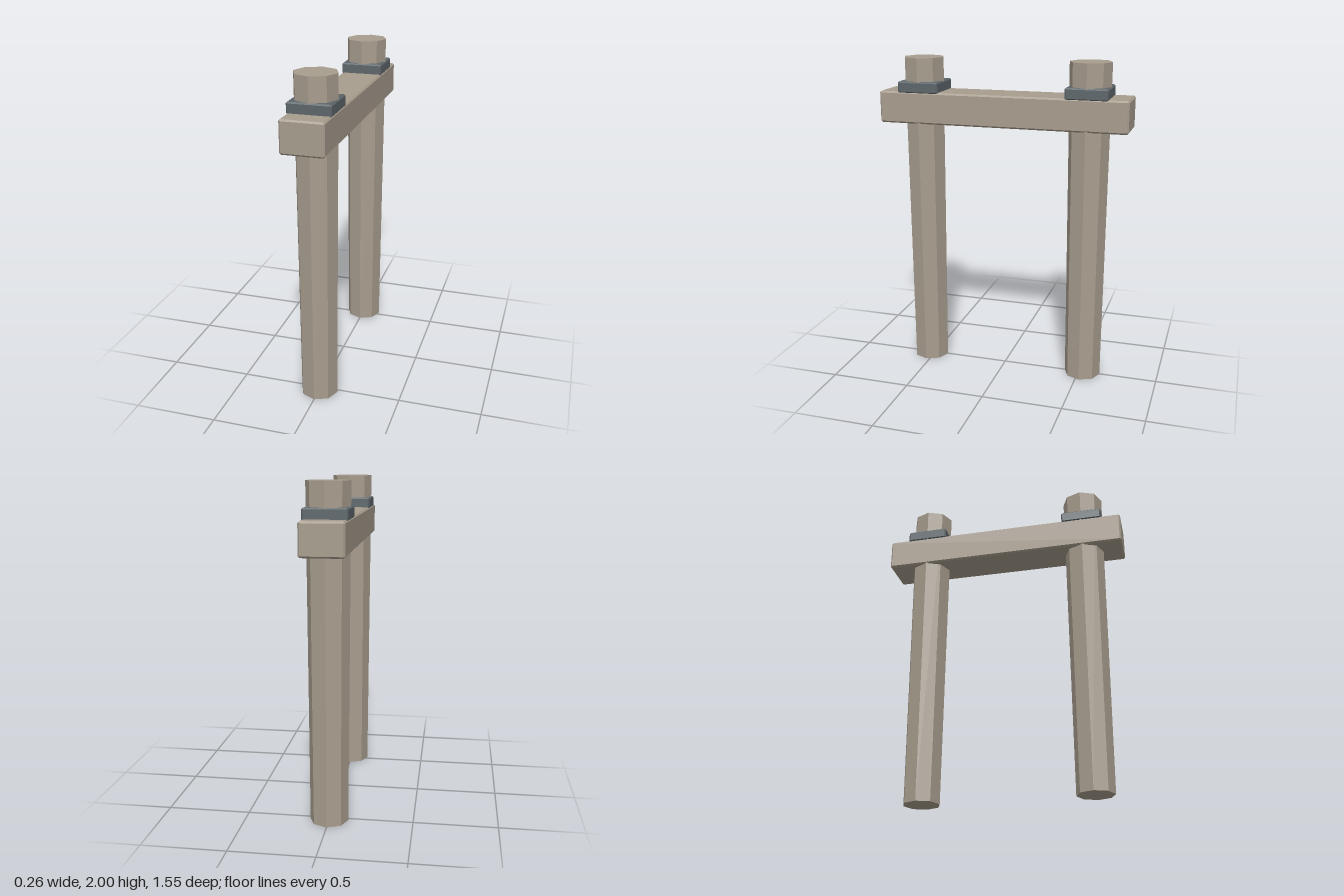
import * as THREE from 'three';
import { ConvexGeometry } from 'three/addons/geometries/ConvexGeometry.js';

// Box with flat chamfered edges: each corner becomes three points
function chamferBox(w, h, d, c) {
  const points = [];
  for (const sx of [-1, 1]) for (const sy of [-1, 1]) for (const sz of [-1, 1]) {
    const [x, y, z] = [w / 2, h / 2, d / 2];
    points.push(
      new THREE.Vector3(sx * x, sy * (y - c), sz * (z - c)),
      new THREE.Vector3(sx * (x - c), sy * y, sz * (z - c)),
      new THREE.Vector3(sx * (x - c), sy * (y - c), sz * z));
  }
  return new ConvexGeometry(points);
}

export function createModel() {
  const wood = new THREE.MeshStandardMaterial({ color: 0xa89d8e, flatShading: true });
  wood.name = 'weatheredWood';
  const iron = new THREE.MeshStandardMaterial({ color: 0x5d666b, flatShading: true });
  iron.name = 'darkIron';

  const group = new THREE.Group();
  const add = (name, geometry, material, y, z) => {
    const mesh = new THREE.Mesh(geometry, material);
    mesh.name = name;
    mesh.position.set(0, y, z);
    group.add(mesh);
  };

  // Crossbeam running front to back
  add('crossbeam', chamferBox(0.255, 0.195, 1.55, 0.01), wood, 1.6975, 0);

  // Tapered eight-sided posts, each with a square collar resting on the beam
  const post = new THREE.CylinderGeometry(0.128, 0.114, 2, 8);
  const collar = chamferBox(0.258, 0.07, 0.258, 0.008);
  for (const [side, z] of [['front', 0.523], ['back', -0.523]]) {
    add(side + 'Post', post, wood, 1, z);
    add(side + 'Collar', collar, iron, 1.822, z);
  }
  return group;
}
